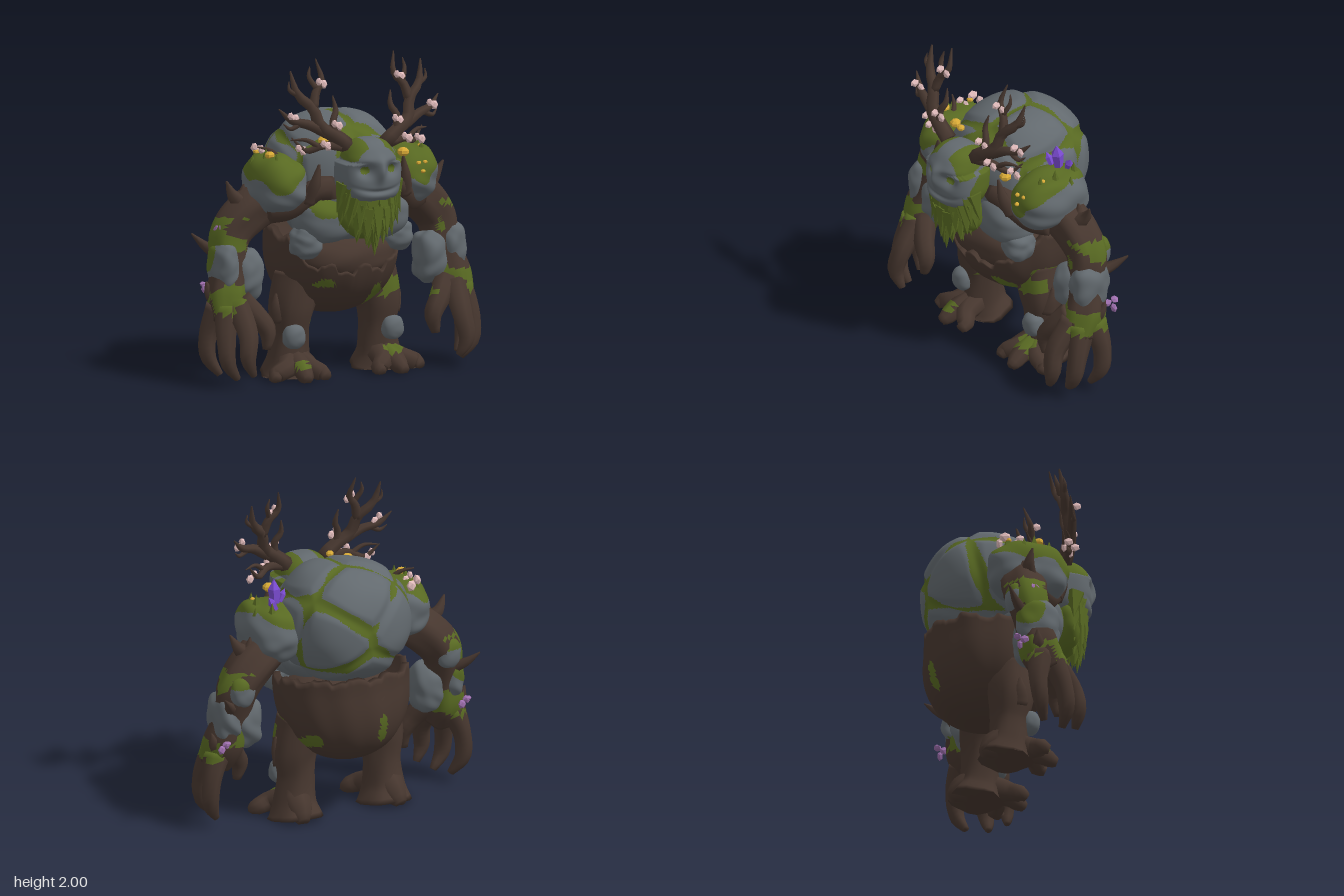
import * as THREE from 'three';
import { mergeVertices } from 'three/addons/utils/BufferGeometryUtils.js';

const V = (x, y, z) => new THREE.Vector3(x, y, z);
const noise = (x, y, z) =>
  0.6 * Math.sin(9 * x + 3 * Math.sin(6 * y)) * Math.sin(8 * y + 2 * z + 1) +
  0.4 * Math.sin(15 * z + 4 * x) * Math.cos(13 * y - 7 * x);
const smooth01 = (a, b, t) => THREE.MathUtils.smoothstep(t, a, b);
const bell = (t) => Math.exp(-t * t);

export function createModel() {
  const root = new THREE.Group();
  root.name = 'forestGolem';
  const mat = (name, color) => Object.assign(new THREE.MeshStandardMaterial({ color }), { name });
  const stone = mat('stone', 0x62696e), bark = mat('bark', 0x47372f), moss = mat('moss', 0x586922);
  const pink = mat('blossomPink', 0xe2bcbc), yellow = mat('fungusYellow', 0xd8aa36);
  const violet = mat('crystalViolet', 0x7a4bd0), lilac = mat('flowerLilac', 0xa070b0);

  const add = (name, geo, material) => {
    const m = new THREE.Mesh(geo, material);
    m.name = name;
    root.add(m);
    return m;
  };
  // Weld vertices, smooth normals, then sort faces into base / moss groups by a rule on their centre
  const addPainted = (name, geo, base, isMoss) => {
    geo.deleteAttribute('uv');
    geo.deleteAttribute('normal');
    geo.clearGroups();
    const g = mergeVertices(geo, 1e-4);
    g.computeVertexNormals();
    if (!isMoss) return add(name, g, base);
    const p = g.attributes.position, ix = g.index.array, sets = [[], []];
    for (let i = 0; i < ix.length; i += 3) {
      const c = V(0, 0, 0);
      for (let k = 0; k < 3; k++) c.add(V().fromBufferAttribute(p, ix[i + k]));
      c.divideScalar(3);
      sets[isMoss(c) ? 1 : 0].push(ix[i], ix[i + 1], ix[i + 2]);
    }
    g.setIndex([...sets[0], ...sets[1]]);
    g.addGroup(0, sets[0].length, 0);
    g.addGroup(sets[0].length, sets[1].length, 1);
    return add(name, g, [base, moss]);
  };
  const reshape = (geo, fn) => {
    const p = geo.attributes.position, v = V();
    for (let i = 0; i < p.count; i++) {
      fn(v.fromBufferAttribute(p, i));
      p.setXYZ(i, v.x, v.y, v.z);
    }
    return geo;
  };
  // Boulder: rounded-box ellipsoid with gentle lumps
  const blob = (name, c, r, base, { detail = 12, power = 2.4, lump = 0.04, bump, shape, isMoss } = {}) => {
    const geo = reshape(new THREE.IcosahedronGeometry(1, detail), (v) => {
      const d = v.clone();
      const k = (Math.abs(d.x) ** power + Math.abs(d.y) ** power + Math.abs(d.z) ** power) ** (-1 / power);
      const f = k * (bump ? bump(d) : 1) * (1 + lump * noise(d.x * 0.4 + c[0], d.y * 0.4 + c[1], d.z * 0.4));
      v.set(c[0] + d.x * f * r[0], c[1] + d.y * f * r[1], c[2] + d.z * f * r[2]);
      if (shape) shape(v);
    });
    return addPainted(name, geo, base, isMoss);
  };
  // Tapering limb through [x, y, z, radius] points, with bark ridges
  const limb = (name, pts, { sides = 8, steps = 12, ridge = 0.07, isMoss } = {}) => {
    const curve = new THREE.CatmullRomCurve3(pts.map((p) => V(p[0], p[1], p[2])));
    const radii = new THREE.CatmullRomCurve3(pts.map((p) => V(p[3], 0, 0)), false, 'catmullrom');
    const fr = curve.computeFrenetFrames(steps);
    const geo = reshape(new THREE.CylinderGeometry(1, 1, 1, sides, steps), (v) => {
      const u = v.y + 0.5, i = Math.round(u * steps);
      const r = radii.getPoint(curve.getUtoTmapping(u)).x * (1 + ridge * Math.sin(5 * Math.atan2(v.z, v.x) + 5 * u));
      const { x, z } = v;
      v.copy(curve.getPointAt(u)).addScaledVector(fr.normals[i], x * r).addScaledVector(fr.binormals[i], -z * r);
      v.y = Math.max(0, v.y);
    });
    return addPainted(name, geo, bark, isMoss);
  };
  const facet = (geo) => {
    const g = geo.index ? geo.toNonIndexed() : geo;
    g.computeVertexNormals();
    return g;
  };

  // Back hump: boulders packed together, moss growing in the cracks
  const seeds = [[-0.5, 0.85, 0.2], [0.6, 0.8, 0.2], [0.1, 0.7, -0.8], [-0.6, 0, -0.8], [0.62, -0.05, -0.8],
    [-1, 0.2, 0], [1, 0.15, 0.1], [-0.4, 0.3, 1], [0.4, 0.3, 1], [0, -0.8, -0.6]].map((s) => V(...s).normalize());
  const crack = (d) => {
    const s = seeds.map((q) => q.distanceTo(d)).sort((a, b) => a - b);
    return s[1] - s[0];
  };
  const humpC = V(0, 1.24, -0.14), humpR = V(0.405, 0.375, 0.4);
  blob('backHump', humpC.toArray(), humpR.toArray(), stone, {
    detail: 38, power: 2.25, lump: 0.025,
    bump: (d) => 0.96 + 0.045 * smooth01(0, 0.3, crack(d)),
    isMoss: (c) => {
      const d = c.clone().sub(humpC).divide(humpR).normalize();
      const n = noise(c.x * 1.2, c.y, c.z * 1.3 + 0.2);
      return c.y > 1 && (crack(d) < 0.1 + 0.2 * n || (c.z > 0.06 && c.y > 1.3 && n > 0.3));
    },
  });
  blob('chest', [0, 1.03, 0.02], [0.36, 0.2, 0.23], stone);

  // Bark bowl with a jagged rim, low at the front, and a few moss patches [x, y, width, height, side]
  const prof = [];
  for (let i = 0; i <= 28; i++) prof.push(new THREE.Vector2(i ? 1 : 0, i / 28));
  prof.push(new THREE.Vector2(0.9, 1.01), new THREE.Vector2(0.85, 1.5), new THREE.Vector2(0, 1.6));
  const bowl = reshape(new THREE.LatheGeometry(prof, 120), (v) => {
    const a = Math.atan2(v.x, v.z), q = Math.hypot(v.x, v.z), t = v.y;
    const front = Math.cos(a);
    const jag = (front > 0 ? 1 : 0.55) * (0.02 * Math.sign(Math.sin(a * 11 + 1)) + 0.02 * Math.sin(a * 7 + 2) * Math.sin(a * 17));
    const rim = (front > 0 ? 0.91 - 0.22 * smooth01(0.15, 0.95, front) : 0.91 - 0.05 * front) + jag;
    const y = t <= 1 ? 0.36 + (rim - 0.36) * t ** 1.6 : t < 1.1 ? rim : 0.64;
    const h = Math.min(1, (y - 0.36) / 0.5);
    const R = (t > 1.1 ? 0.95 : Math.sqrt(1 - (1 - h) ** 2.6)) * q * (1 + 0.012 * Math.sin(a * 9 + 6 * y) * Math.sin(a * 4 + 1));
    v.set(Math.sin(a) * R * 0.42, y, -0.115 - 0.05 * (1 - h) + Math.cos(a) * R * 0.41);
  });
  const patches = [[0.17, 0.49, 0.06, 0.1, 1], [-0.2, 0.6, 0.06, 0.03, 1], [-0.33, 0.5, 0.05, 0.06, 1], [0.37, 0.6, 0.035, 0.1, 1],
    [-0.08, 0.62, 0.035, 0.09, -1], [0.3, 0.55, 0.04, 0.07, -1]];
  addPainted('barkBowl', bowl, bark, (c) => patches.some(([x, y, w, h, side]) => (c.z + 0.12) * side > 0 &&
    Math.hypot((c.x - x) / w, (c.y - y) / h) < 0.9 + 0.4 * noise(c.x * 3, c.y * 3, c.z)));
  blob('innerBark', [0, 0.74, -0.06], [0.35, 0.17, 0.3], bark);

  // Head: heavy face with sunken mossy eyes, ridge nose and a curved mouth
  const eye = (v) => Math.hypot((Math.abs(v.x) - 0.09) / 0.045, (v.y - 1.34) / 0.04);
  blob('head', [0, 1.31, 0.34], [0.2, 0.21, 0.17], stone, {
    detail: 30, power: 2.5, lump: 0.015,
    shape: (v) => {
      v.x *= 1 - 0.16 * smooth01(1.38, 1.15, v.y);
      if (v.z < 0.36) return;
      v.z += 0.04 * bell(v.x / 0.035) * bell((v.y - 1.34) / 0.07) - 0.04 * bell(eye(v));
      v.z += 0.012 * bell((v.y - 1.4) / 0.03) - 0.016 * bell((v.y - 1.205 - 1.2 * v.x * v.x) / 0.014) * bell(v.x / 0.13);
      v.z += 0.02 * bell((v.y - 1.17) / 0.04);
    },
    isMoss: (v) => (v.z > 0.4 && eye(v) < 0.62) ||
      (v.z < 0.46 && v.y > 1.4 + 0.09 * noise(v.x * 2, v.y, v.z) && Math.abs(v.x) > 0.055) ||
      (v.z < 0.4 && Math.abs(v.x) > 0.14 && noise(v.x, v.y, v.z) > 0.1),
  });

  // Beard: overlapping pointed tufts wrapped in rows [y, half width, depth, arc, count, tilt]
  blob('beardMass', [0, 1.08, 0.34], [0.2, 0.19, 0.1], moss, { power: 2 });
  const rows = [[1.13, 0.2, 0.12, 1.45, 9, 0.16], [1.06, 0.185, 0.125, 1.4, 8, 0.14], [1.0, 0.15, 0.125, 1.3, 7, 0.08],
    [0.95, 0.1, 0.11, 1.1, 5, 0], [0.905, 0.04, 0.095, 0.6, 3, -0.06]];
  rows.forEach(([y, w, d, arc, n, tilt], j) => {
    for (let i = 0; i < n; i++) {
      const t = (i / (n - 1)) * 2 - 1, a = t * arc;
      const g = new THREE.ConeGeometry(0.065, 0.19 + 0.03 * ((i + j) % 2), 5);
      g.rotateX(Math.PI).scale(1, 1, 0.6).rotateX(-tilt).rotateZ(t * 0.15).rotateY(a);
      add('beardTuft', facet(g), moss).position.set(w * Math.sin(a), y + 0.03 * t * t, 0.34 + d * Math.cos(a));
    }
  });

  // Small growths
  const petals = (name, [x, y, z], size, m, n = 2) => {
    for (let i = 0; i < n; i++) {
      const a = i * 2.4, p = add(name, facet(new THREE.IcosahedronGeometry(size)), m);
      p.position.set(x + Math.cos(a) * size * 0.9, y + ((i % 3) - 1) * size * 0.8, z + Math.sin(a) * size * 0.9);
      p.rotation.set(a, a * 2, i);
      p.scale.set(1, 1.2, 0.7);
    }
  };
  const crystal = (x, y, z, h, tilt) => {
    const pr = [[0, 0], [0.3, 0.05], [0.42, 0.6], [0, 1]].map(([r, t]) => new THREE.Vector2(r * h * 0.6, t * h));
    const m = add('crystal', facet(new THREE.LatheGeometry(pr, 5)), violet);
    m.position.set(x, y, z);
    m.rotation.set(0.1, 0, tilt);
  };
  const fungus = (x, y, z, r) => {
    const m = add('fungus', facet(new THREE.SphereGeometry(r, 7, 5)), yellow);
    m.position.set(x, y, z);
    m.scale.y = 0.75;
  };

  for (const s of [1, -1]) {
    const M = (pts) => pts.map(([x, ...rest]) => [s * x, ...rest]);
    // Torso stones and collar roots
    blob('breastStone', [s * 0.18, 1.0, 0.1], [0.2, 0.16, 0.17], stone, {
      isMoss: (c) => c.y > 1.02 && noise(c.x, c.y, c.z * 1.5) > 0.42 });
    blob('waistStone', [s * 0.31, 0.86, 0.12], [0.1, 0.1, 0.1], stone, { detail: 8, lump: 0.12 });
    limb('collarRoot', M([[0.18, 1.2, 0.18, 0.09], [0.28, 1.19, 0.19, 0.075], [0.33, 1.13, 0.17, 0.06], [0.42, 1.07, 0.1, 0.07], [0.5, 1.06, 0.02, 0.08]]));
    limb('collarSpur', M([[0.33, 1.12, 0.19, 0.05], [0.31, 1.24, 0.24, 0.035], [0.29, 1.36, 0.26, 0.008]]), { sides: 6 });
    // Shoulder
    blob('shoulder', [s * 0.45, 1.21, -0.02], [0.17, 0.185, 0.25], stone, {
      detail: 26, lump: 0.07,
      isMoss: (c) => c.y > 1.3 - 0.3 * Math.max(0, c.z) + 0.08 * noise(c.x * 1.5, c.y, c.z * 1.5) });
    for (const [x, y, z] of [[0.52, 1.4, 0.0], [0.57, 1.35, -0.08], [0.5, 1.39, -0.16], [0.5, 1.38, 0.1]])
      add('mossTuft', facet(new THREE.ConeGeometry(0.03, 0.08, 5)), moss).position.set(s * x, y, z);
    // Arm, forearm stones, twigs
    limb('arm', M([[0.46, 1.12, -0.06, 0.13], [0.6, 1.03, -0.09, 0.135], [0.71, 0.9, -0.1, 0.125], [0.74, 0.7, -0.06, 0.11], [0.77, 0.54, -0.03, 0.125], [0.79, 0.4, 0.03, 0.1]]), {
      sides: 22, steps: 44,
      isMoss: (c) => (Math.abs(c.y - 0.92) < 0.1 && s * c.x > 0.66 && noise(c.x, c.y, c.z) > -0.25) ||
        (Math.abs(c.y - 0.55) < 0.06 + 0.07 * noise(c.x * 2, c.y, c.z * 2)) });
    blob('innerForearmStone', [s * 0.64, 0.66, -0.05], [0.105, 0.165, 0.12], stone, { lump: 0.1 });
    blob('outerForearmStone', [s * 0.78, 0.72, -0.06], [0.085, 0.16, 0.13], stone, {
      lump: 0.1, detail: 16, isMoss: (c) => noise(c.x, c.y, c.z + 0.3) > 0.4 });
    blob('elbowStone', [s * 0.72, 0.9, -0.17], [0.08, 0.1, 0.07], stone, { isMoss: (c) => c.y > 0.93 });
    limb('elbowTwig', M([[0.58, 1.0, -0.08, 0.1], [0.65, 1.1, -0.08, 0.055], [0.7, 1.15, -0.09, 0.038], [0.75, 1.24, -0.08, 0.006]]), { sides: 6 });
    limb('elbowTwigFork', M([[0.64, 1.08, -0.08, 0.045], [0.63, 1.15, -0.1, 0.03], [0.62, 1.21, -0.1, 0.005]]), { sides: 5, steps: 5 });
    limb('forearmTwig', M([[0.75, 0.76, -0.1, 0.045], [0.82, 0.82, -0.2, 0.032], [0.89, 0.9, -0.27, 0.005]]), { sides: 6, steps: 6 });
    limb('wristSpur', M([[0.8, 0.5, -0.05, 0.06], [0.86, 0.56, -0.08, 0.04], [0.885, 0.63, -0.09, 0.006]]), { sides: 6, steps: 6 });
    // Hand
    const fingers = [
      [[0.71, 0.52, 0.02, 0.08], [0.63, 0.42, 0.09, 0.066], [0.575, 0.33, 0.12, 0.055], [0.585, 0.22, 0.13, 0.026]],
      [[0.75, 0.5, 0.05, 0.08], [0.74, 0.32, 0.18, 0.062], [0.755, 0.18, 0.21, 0.05], [0.71, 0.08, 0.2, 0.022]],
      [[0.81, 0.48, 0.03, 0.08], [0.845, 0.29, 0.09, 0.06], [0.84, 0.15, 0.11, 0.05], [0.77, 0.05, 0.1, 0.022]],
      [[0.82, 0.48, -0.05, 0.085], [0.875, 0.32, -0.08, 0.06], [0.88, 0.17, -0.07, 0.05], [0.82, 0.06, -0.03, 0.022]]];
    fingers.forEach((f) => limb('finger', M(f), { isMoss: (c) => c.y > 0.45 && noise(c.x * 2, c.y * 2, c.z) > 0.1 }));
    // Leg, knee stone and foot
    limb('leg', M([[0.25, 0.62, -0.09, 0.15], [0.3, 0.42, -0.08, 0.135], [0.3, 0.26, -0.09, 0.115], [0.31, 0.1, -0.1, 0.13], [0.31, 0, -0.12, 0.17]]), {
      sides: 18, steps: 24, isMoss: (c) => c.y > 0.34 && c.z > -0.05 && noise(c.x * 1.5, c.y * 1.5, c.z) > 0.45 });
    blob('kneeStone', [s * 0.34, 0.26, 0.025], [0.07, 0.075, 0.06], stone, { detail: 6 });
    limb('legSpur', M([[0.37, 0.36, -0.06, 0.07], [0.41, 0.45, -0.06, 0.04], [0.42, 0.52, -0.06, 0.008]]), { sides: 6, steps: 6 });
    const toes = [[0.19, 0.17], [0.33, 0.2], [0.49, 0.1]];
    toes.forEach(([x, z]) => limb('toe', M([[0.3, 0.1, -0.08, 0.1], [(0.31 + x) / 2, 0.07, z * 0.45, 0.065], [x, 0.035, z - 0.04, 0.05], [x * 1.02, 0.02, z, 0.03]]), {
      isMoss: (c) => c.y > 0.08 && c.z > 0.02 && noise(c.x * 2, c.y, c.z * 2) > 0.45 }));
    limb('heel', M([[0.32, 0.14, -0.12, 0.1], [0.33, 0.07, -0.21, 0.08], [0.34, 0.02, -0.27, 0.04]]), { steps: 6 });

    // Antlers: [x, y, z, radius] chains
    const antlers = [
      [[0.13, 1.47, 0.31, 0.05], [0.2, 1.53, 0.31, 0.046], [0.3, 1.6, 0.29, 0.04], [0.33, 1.71, 0.26, 0.034], [0.42, 1.8, 0.22, 0.027], [0.45, 1.94, 0.18, 0.005]],
      [[0.33, 1.71, 0.26, 0.03], [0.3, 1.81, 0.23, 0.026], [0.25, 1.87, 0.21, 0.02], [0.27, 2.0, 0.17, 0.004]],
      [[0.3, 1.83, 0.23, 0.018], [0.33, 1.9, 0.2, 0.014], [0.32, 1.96, 0.19, 0.003]],
      [[0.41, 1.79, 0.22, 0.018], [0.47, 1.83, 0.21, 0.012], [0.47, 1.88, 0.2, 0.003]],
      [[0.27, 1.56, 0.3, 0.035], [0.38, 1.62, 0.28, 0.03], [0.48, 1.65, 0.25, 0.022], [0.55, 1.72, 0.22, 0.004]],
      [[0.42, 1.63, 0.27, 0.018], [0.49, 1.6, 0.26, 0.013], [0.53, 1.63, 0.24, 0.003]],
      [[0.21, 1.53, 0.32, 0.03], [0.22, 1.63, 0.3, 0.022], [0.19, 1.69, 0.28, 0.018], [0.2, 1.78, 0.26, 0.004]],
      [[0.17, 1.47, 0.31, 0.034], [0.28, 1.48, 0.29, 0.024], [0.37, 1.45, 0.24, 0.018], [0.45, 1.53, 0.2, 0.004]],
      [[0.3, 1.47, 0.28, 0.018], [0.38, 1.52, 0.26, 0.013], [0.47, 1.52, 0.22, 0.003]]];
    antlers.forEach((a) => limb('antler', M(a), { sides: 6, steps: 10, ridge: 0.1 }));
    for (const [x, y, z] of [[0.27, 1.87, 0.23], [0.21, 1.62, 0.32], [0.48, 1.68, 0.26], [0.28, 1.5, 0.31], [0.41, 1.47, 0.23]])
      petals('blossom', [s * x, y, z], 0.026, pink);
    petals('armFlowers', [s * 0.77, 0.95, -0.09], 0.03, lilac, 5);
    petals('wristFlowers', [s * 0.84, 0.57, -0.18], 0.026, lilac, 3);
  }

  // Shoulder decorations
  crystal(0.44, 1.39, -0.09, 0.16, 0);
  crystal(0.46, 1.37, -0.14, 0.1, -0.5);
  crystal(0.4, 1.39, -0.07, 0.09, 0.5);
  [[0.31, 1.38, 0.22, 0.038], [-0.22, 1.49, 0.18, 0.036], [-0.51, 1.4, 0.03, 0.032], [-0.5, 1.39, -0.16, 0.022], [-0.12, 1.52, 0.22, 0.026],
    [0.42, 1.3, 0.215, 0.016], [0.47, 1.3, 0.205, 0.016], [0.44, 1.25, 0.235, 0.016], [0.5, 1.38, 0.08, 0.016]].forEach((f) => fungus(...f));
  limb('shoulderTwig', [[-0.44, 1.37, 0.02, 0.02], [-0.48, 1.42, -0.02, 0.014], [-0.55, 1.44, -0.06, 0.004]], { sides: 5, steps: 5 });
  petals('shoulderBlossom', [-0.48, 1.41, -0.2], 0.032, pink);
  petals('shoulderBlossom', [-0.49, 1.41, -0.1], 0.024, pink);
  return root;
}
